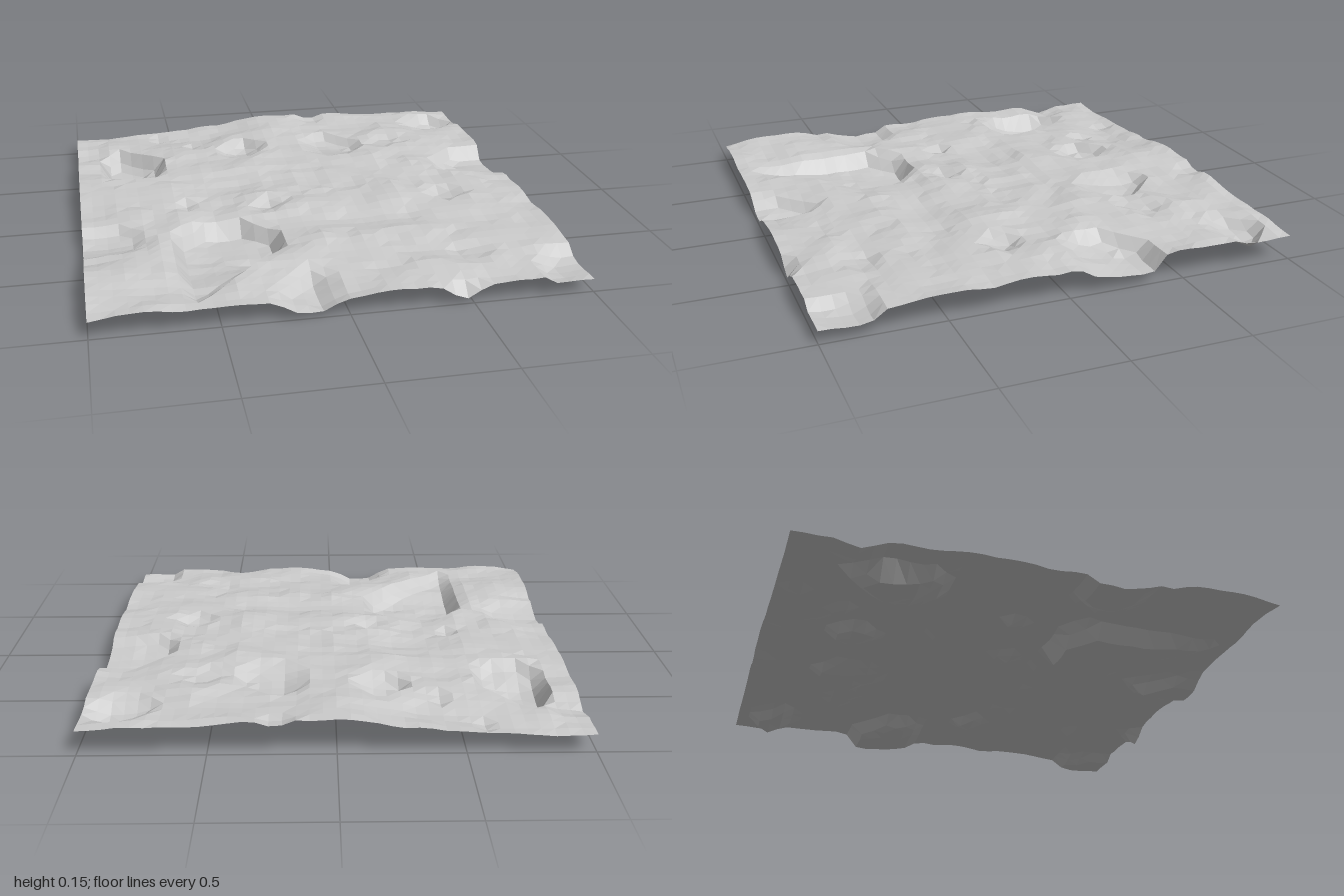
import * as THREE from 'three';

const CELLS = 38;

// Broad lie of the land: heights on a 5 x 5 grid, back row first, left column at -x
const LAND = [
  [0.07, 0.085, 0.135, 0.125, 0.1],
  [0.088, 0.1, 0.13, 0.14, 0.12],
  [0.088, 0.1, 0.116, 0.125, 0.12],
  [0.088, 0.098, 0.1, 0.106, 0.11],
  [0.088, 0.09, 0.08, 0.085, 0.09],
];

// Hollows: x range, z range, depth, then the corner cuts NW, NE, SE (default 0.09).
// They are steep on the north and sides, and shallower southwards.
const HOLLOWS = [
  [-0.9, -0.57, -0.8, -0.3, 0.1, 0.12, 0.22],
  [-0.65, -0.15, 0.2, 0.98, 0.08, 0.14, 0.15, 0.45],
  [0.67, 1.15, -0.43, -0.03, 0.07, 0.17],
  [0.12, 0.44, -0.76, -0.36, 0.05, 0.09, 0.18, 0.12],
  [-0.33, -0.06, -0.75, -0.46, 0.06, 0.12],
  [0.78, 1.15, 0.73, 1.25, 0.045, 0.12],
  [0.67, 1.0, -0.95, -0.7, 0.055, 0.14],
  [-0.3, -0.02, 0.7, 1.3, 0.055, 0.2],
  [0.35, 0.59, 0.93, 1.25, 0.05],
  [-1.2, -0.74, 0.14, 0.5, 0.04],
  [0.52, 0.76, 0.04, 0.26, 0.045],
  [-0.63, -0.42, -0.06, 0.12, 0.035],
  [-0.33, -0.07, 0, 0.2, 0.035, 0.16],
  [-1.15, -0.8, -0.84, -0.6, 0.03],
  [0.42, 0.68, -0.66, -0.4, 0.025],
  [0.2, 0.38, 0.47, 0.65, 0.025],
  [-0.66, -0.48, -1, -0.82, 0.025],
  [0.15, 0.34, -1.2, -0.82, 0.025],
  [0.42, 0.7, 0.62, 0.82, 0.025],
  [-0.47, -0.34, -0.82, -0.58, 0.03],
];

const smooth = (t) => { t = Math.min(1, Math.max(0, t)); return t * t * (3 - 2 * t); };

function hash(i, j) {
  const s = Math.sin(i * 127.1 + j * 311.7) * 43758.5453;
  return s - Math.floor(s);
}

// Smooth blend of values given at whole-number grid points
function blend(value, x, z) {
  const i = Math.floor(x), j = Math.floor(z);
  const u = smooth(x - i), v = smooth(z - j);
  const a = THREE.MathUtils.lerp(value(i, j), value(i + 1, j), u);
  const b = THREE.MathUtils.lerp(value(i, j + 1), value(i + 1, j + 1), u);
  return THREE.MathUtils.lerp(a, b, v);
}

const noise = (x, z) => 2 * blend(hash, x, z) - 1;
const land = (i, j) => LAND[Math.min(4, j)][Math.min(4, i)];

// Drop of one hollow: a box with cut corners and a wall about one cell wide
function hollowDrop(x, z, [x0, x1, z0, z1, depth, nw = 0.09, ne = 0.09, se = 0.09]) {
  const west = x - x0, east = x1 - x, north = z - z0, south = z1 - z;
  const inside = Math.min(west, east, north, south,
    (west + north - nw) * 0.75, (east + north - ne) * 0.75,
    (east + south - se) * 0.75, (west + south - 0.09) * 0.75);
  if (inside <= 0) return 0;
  const along = north / (z1 - z0);
  return depth * smooth(inside / 0.075) * (1 - 0.6 * smooth((along - 0.35) / 0.65));
}

function groundHeight(x, z) {
  let y = blend(land, (x + 1) * 2, (z + 1) * 2);
  // Lumps and finer ripples
  y += 0.013 * noise(x * 5 + 31, z * 6 + 17) + 0.007 * noise(x * 12 + 5, z * 15 + 41);
  y -= Math.max(...HOLLOWS.map((h) => hollowDrop(x, z, h)));
  return THREE.MathUtils.clamp(y, 0, 0.16);
}

export function createModel() {
  const group = new THREE.Group();
  group.name = 'terrain';

  // One square sheet of faceted ground
  const geometry = new THREE.PlaneGeometry(2, 2, CELLS, CELLS);
  geometry.rotateX(-Math.PI / 2);
  const p = geometry.attributes.position;
  for (let i = 0; i < p.count; i++) p.setY(i, groundHeight(p.getX(i), p.getZ(i)));

  // Split each cell along its more level diagonal so that ridges run clean
  const index = [];
  for (let j = 0; j < CELLS; j++) {
    for (let i = 0; i < CELLS; i++) {
      const a = j * (CELLS + 1) + i, b = a + CELLS + 1, c = b + 1, d = a + 1;
      const rising = Math.abs(p.getY(b) - p.getY(d)) <= Math.abs(p.getY(a) - p.getY(c));
      index.push(...(rising ? [a, b, d, b, c, d] : [a, b, c, a, c, d]));
    }
  }
  geometry.setIndex(index);
  geometry.computeVertexNormals();

  // Rest the lowest hollow on the ground plane
  geometry.computeBoundingBox();
  geometry.translate(0, -geometry.boundingBox.min.y, 0);

  const ground = new THREE.Mesh(geometry, new THREE.MeshStandardMaterial({
    color: 0xcccccc, flatShading: true, side: THREE.DoubleSide,
  }));
  ground.name = 'groundSurface';
  group.add(ground);
  return group;
}
